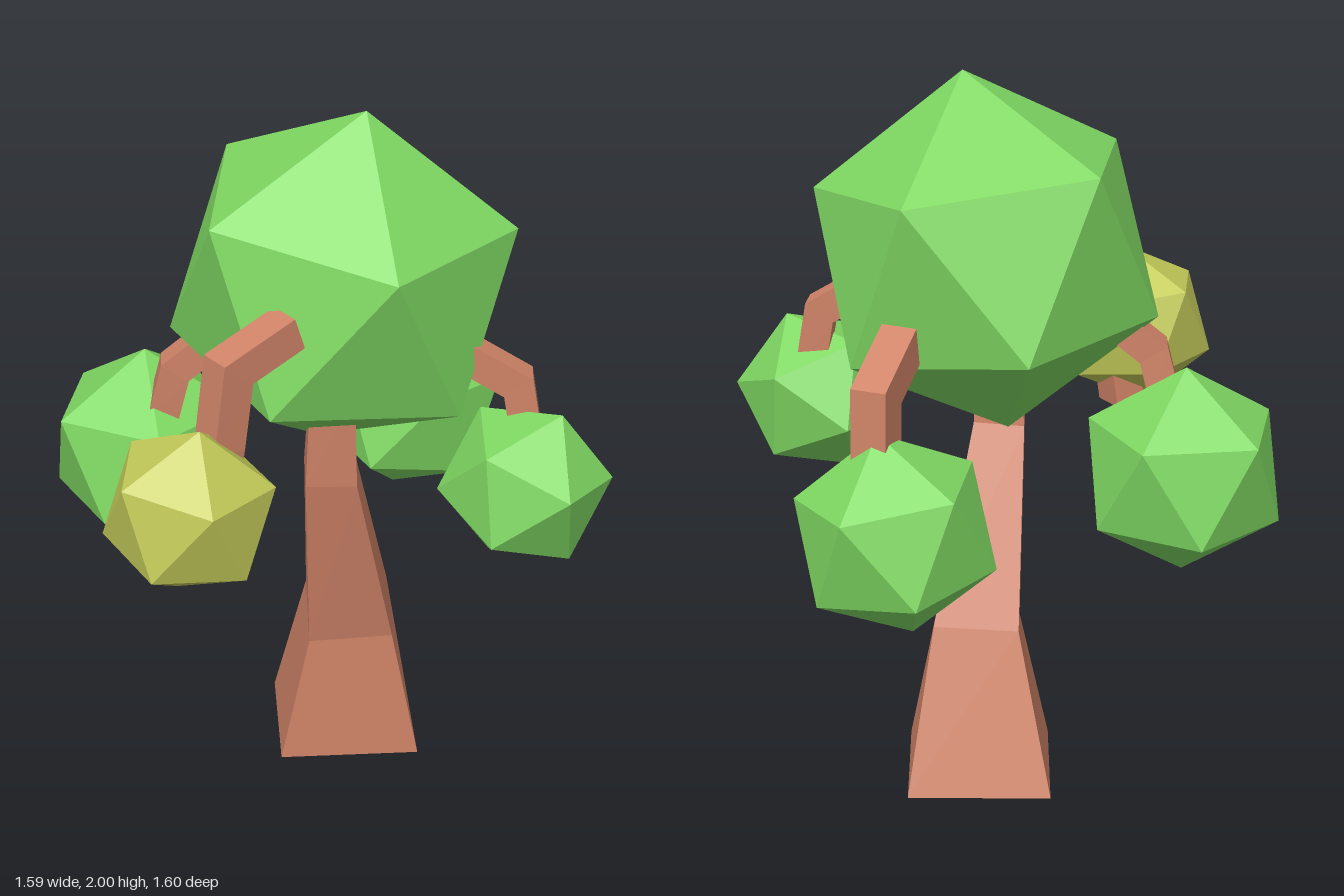
import * as THREE from 'three';

const V = (p) => new THREE.Vector3(...p);
const mat = (color) => new THREE.MeshStandardMaterial({ color, flatShading: true });

// Closed four-sided solid through a list of rings (each ring: 4 points, counterclockwise seen from the tip)
function loft(rings) {
  const pos = [];
  const quad = (a, b, c, d) => [a, b, c, a, c, d].forEach((p) => pos.push(p.x, p.y, p.z));
  for (let i = 0; i < rings.length - 1; i++) {
    for (let j = 0; j < 4; j++) {
      const k = (j + 1) % 4;
      quad(rings[i][j], rings[i][k], rings[i + 1][k], rings[i + 1][j]);
    }
  }
  const [a, b, c, d] = rings[0];
  quad(a, d, c, b);
  quad(...rings[rings.length - 1]);
  const geo = new THREE.BufferGeometry();
  geo.setAttribute('position', new THREE.Float32BufferAttribute(pos, 3));
  geo.computeVertexNormals();
  return geo;
}

// Square bar of a given width swept along a bent path, mitred at the bends
function branchGeometry(points, width) {
  const path = points.map(V);
  const last = path.length - 1;
  const dirs = path.slice(1).map((p, i) => p.clone().sub(path[i]).normalize());
  const run = path[1].clone().sub(path[0]).setY(0);
  const side = new THREE.Vector3(0, 1, 0).cross(run).normalize();
  const h = width / 2;
  return loft(path.map((p, i) => {
    const before = dirs[Math.max(i - 1, 0)];
    const t = before.clone().add(dirs[Math.min(i, last - 1)]).normalize();
    const n = t.clone().cross(side).normalize().multiplyScalar(h / t.dot(before));
    return [[-1, -1], [1, -1], [1, 1], [-1, 1]].map(([u, v]) =>
      p.clone().addScaledVector(side, u * h).addScaledVector(n, v));
  }));
}

// Icosahedron turned so that one corner points along a and a neighbouring corner towards b
function leafGeometry(radius, a, b) {
  const basis = (p, q) => {
    const y = p.clone().normalize();
    const x = q.clone().addScaledVector(y, -q.dot(y)).normalize();
    return new THREE.Matrix4().makeBasis(x, y, x.clone().cross(y));
  };
  const g = (1 + Math.sqrt(5)) / 2;
  const from = basis(V([-1, g, 0]), V([1, g, 0])).transpose();
  return new THREE.IcosahedronGeometry(radius, 0).applyMatrix4(basis(V(a), V(b)).multiply(from));
}

export function createModel() {
  const tree = new THREE.Group();
  tree.name = 'tree';
  const wood = mat(0xcf8367);
  const green = mat(0x7fd862);
  const yellow = mat(0xc2ca58);

  const add = (name, geometry, material) => {
    const mesh = new THREE.Mesh(geometry, material);
    mesh.name = name;
    tree.add(mesh);
    return mesh;
  };

  // Leaning, tapered trunk; its top is buried in the crown
  const trunkRings = [
    [[-0.13, 0, 0.08], [0.265, 0, 0.005], [0.19, 0, -0.385], [-0.205, 0, -0.315]],
    [[-0.05, 0.39, 0.05], [0.185, 0.4, 0.005], [0.145, 0.46, -0.225], [-0.09, 0.45, -0.19]],
    [[-0.045, 0.955, 0.155], [0.095, 0.955, 0.135], [0.075, 0.99, 0.01], [-0.065, 0.98, 0.03]],
    [[-0.03, 1.25, 0.165], [0.09, 1.25, 0.15], [0.075, 1.25, 0.04], [-0.045, 1.25, 0.055]],
  ];
  add('trunk', loft(trunkRings.map((ring) => ring.map(V))), wood);

  // Bent branches reaching out of the crown and down into the leaf clusters
  const branches = [
    ['frontBranch', 0.095, [[-0.06, 1.53, 0.35], [-0.2, 1.465, 0.48], [-0.225, 1.25, 0.495], [-0.275, 0.905, 0.5]]],
    ['rightBranch', 0.085, [[-0.31, 1.33, 0], [-0.425, 1.235, 0.02], [-0.46, 1.1, 0.02], [-0.47, 0.95, 0]]],
    ['leftBranch', 0.085, [[0.34, 1.385, 0.095], [0.525, 1.275, 0.08], [0.555, 1.1, 0.08]]],
    ['backBranch', 0.1, [[0.18, 1.385, -0.32], [0.225, 1.26, -0.535], [0.225, 1.02, -0.545]]],
  ];
  branches.forEach(([name, width, path]) => add(name, branchGeometry(path, width), wood));

  // Faceted leaf clusters: name, material, centre, radius, top corner direction, neighbour direction
  const leaves = [
    ['crown', green, [0.032, 1.505, -0.029], 0.5, [0.136, 0.99, 0.057], [0.478, 0.155, -0.021]],
    ['frontLeaves', yellow, [-0.293, 1.11, 0.595], 0.239, [0.035, 0.235, 0.01], [0.228, 0.07, -0.015]],
    ['rightLeaves', green, [-0.53, 0.935, -0.092], 0.296, [0, 1, 0], [1, 0.5, 0]],
    ['leftLeaves', green, [0.555, 1.005, 0.15], 0.239, [0.095, 0.22, 0.015], [0.235, 0.015, -0.03]],
    ['backLeaves', green, [0.175, 0.885, -0.555], 0.283, [0.045, 0.28, 0], [0.27, 0.07, -0.01]],
  ];
  leaves.forEach(([name, material, centre, radius, a, b]) =>
    add(name, leafGeometry(radius, a, b), material).position.set(...centre));

  return tree;
}
